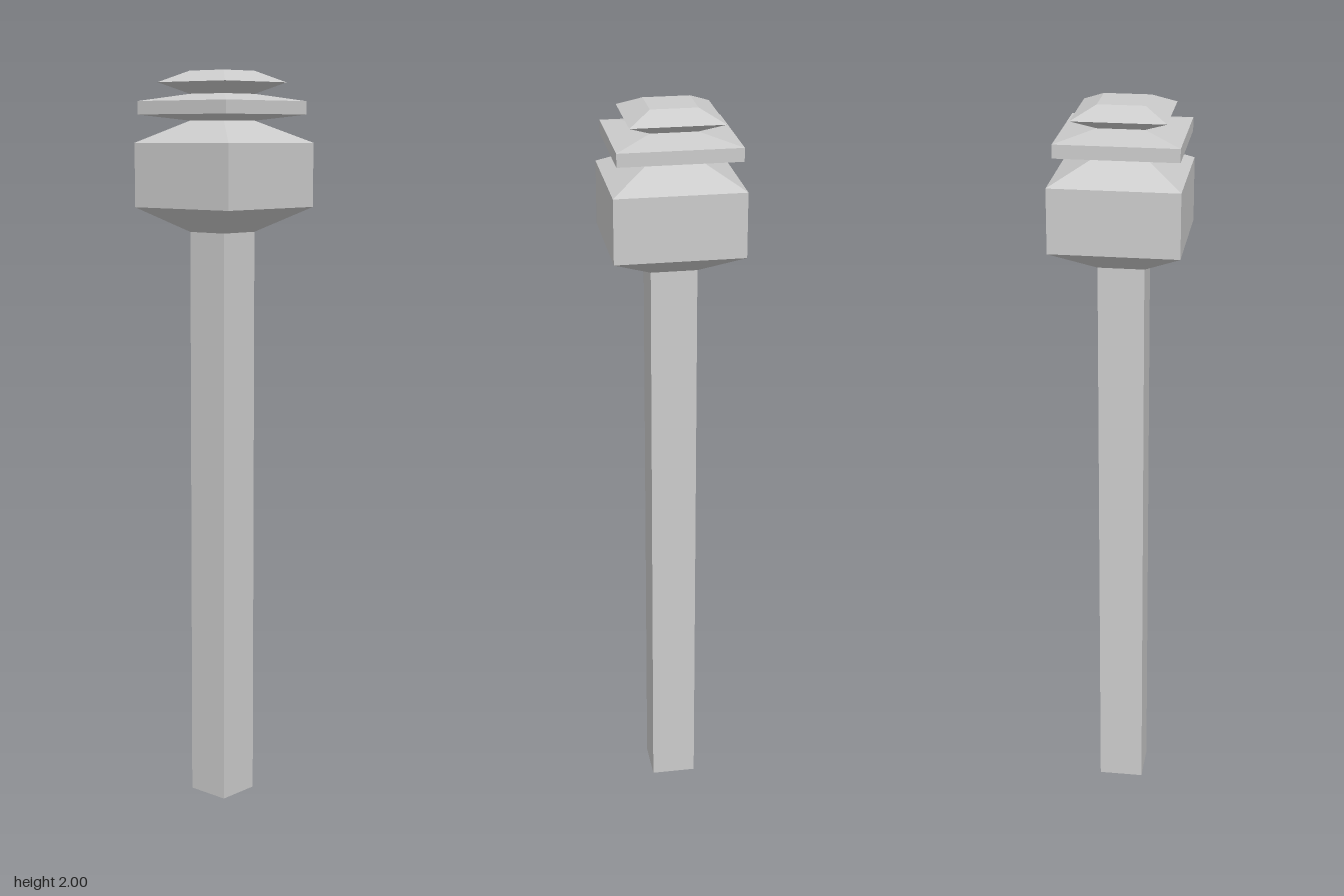
import * as THREE from 'three';

const material = new THREE.MeshStandardMaterial({ color: 0xcccccc, flatShading: true });

// Square column whose layers follow a list of rings: [halfWidth, y, centreX, centreZ]
function squareLoft(name, rings) {
  const n = rings.length - 1;
  const geometry = new THREE.BoxGeometry(2, n, 2, 1, n, 1);
  const pos = geometry.attributes.position;
  for (let i = 0; i < pos.count; i++) {
    const [half, y, cx, cz] = rings[Math.round(pos.getY(i) + n / 2)];
    pos.setXYZ(i, cx + pos.getX(i) * half, y, cz + pos.getZ(i) * half);
  }
  geometry.computeVertexNormals();
  const mesh = new THREE.Mesh(geometry, material);
  mesh.name = name;
  return mesh;
}

export function createModel() {
  const group = new THREE.Group();
  group.name = 'squarePost';
  // The shaft and upper tiers sit very slightly off the head's centre
  const x = -0.005, z = -0.002;

  // Tall plain shaft
  group.add(squareLoft('shaft', [[0.061, 0, x, z], [0.061, 1.576, x, z]]));

  // Block head with sloped underside and shoulders
  group.add(squareLoft('head', [
    [0.061, 1.576, x, z], [0.169, 1.642, 0, 0], [0.169, 1.812, 0, 0], [0.061, 1.87, x, z],
  ]));

  // Thin flared collar
  group.add(squareLoft('collar', [
    [0.061, 1.87, x, z], [0.159, 1.886, -0.006, z], [0.159, 1.921, -0.006, z], [0.061, 1.94, x, z],
  ]));

  // Small flat-topped cap
  group.add(squareLoft('cap', [
    [0.061, 1.94, x, z], [0.121, 1.97, -0.006, z], [0.061, 2, -0.006, z],
  ]));

  return group;
}
